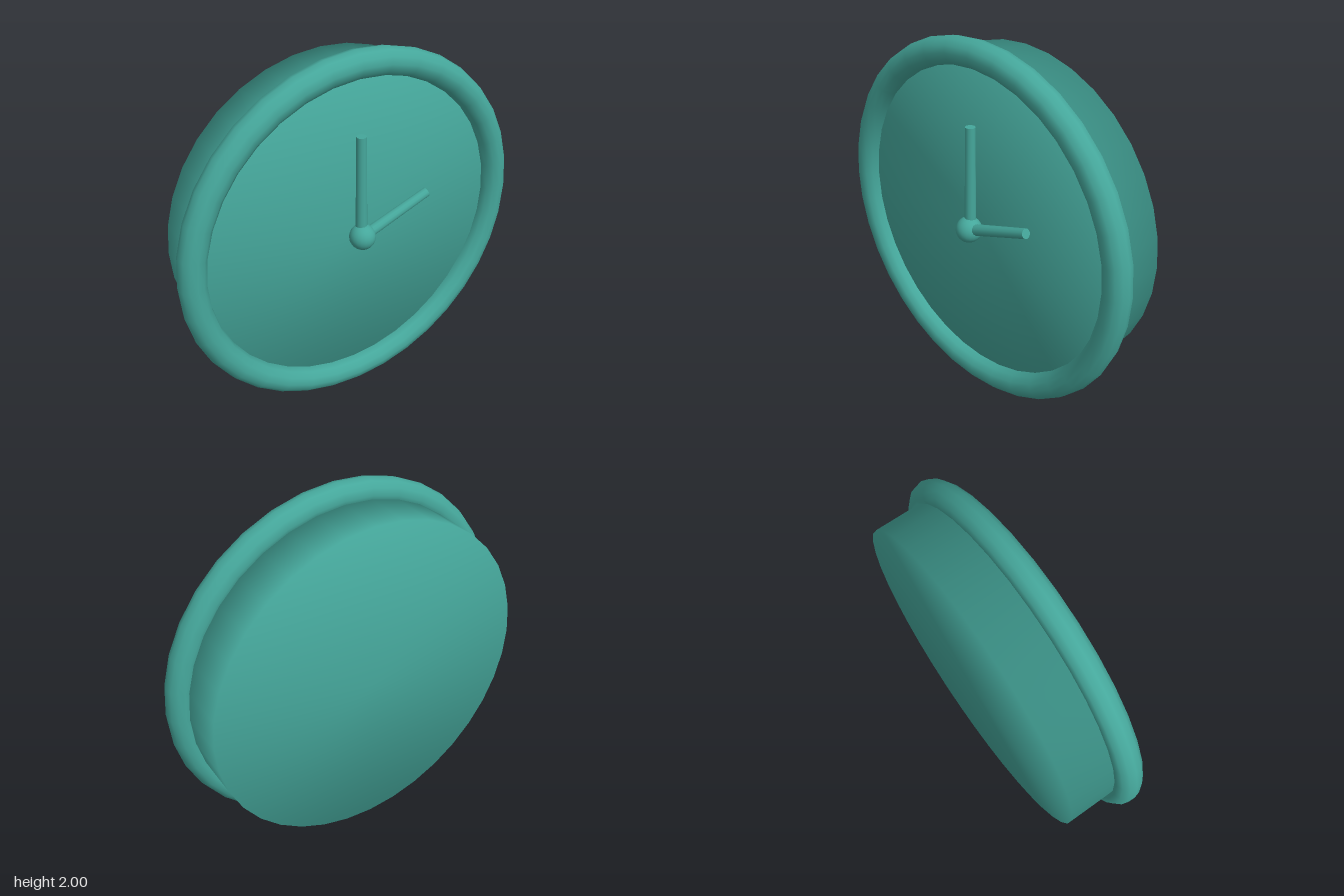
import * as THREE from 'three';
import { mergeVertices } from 'three/addons/utils/BufferGeometryUtils.js';

// Share vertices so that shading runs smoothly over the cap edges
function soften(geometry) {
  geometry.deleteAttribute('normal');
  geometry.deleteAttribute('uv');
  const soft = mergeVertices(geometry, 1e-4);
  soft.computeVertexNormals();
  return soft;
}

export function createModel() {
  const group = new THREE.Group();
  const teal = new THREE.MeshStandardMaterial({ color: 0x45a79b });
  teal.name = 'teal';

  function add(name, geometry, x, y, z) {
    const mesh = new THREE.Mesh(geometry, teal);
    mesh.name = name;
    mesh.position.set(x, y, z);
    group.add(mesh);
    return mesh;
  }

  // Drum-shaped case, whose front cap is the dial
  const back = -0.235, dial = 0.09;
  const drum = new THREE.CylinderGeometry(0.908, 0.908, dial - back, 36);
  drum.rotateX(Math.PI / 2);
  add('case', soften(drum), 0, 1, (back + dial) / 2);

  // Round rim
  add('rim', new THREE.TorusGeometry(0.927, 0.073, 12, 36), 0, 1, 0.0925);

  // Centre hub
  add('hub', new THREE.SphereGeometry(0.07, 20, 14), 0, 1, 0.165);

  // Hands: rods from the hub to their tips
  function addHand(name, tip, radius, startZ) {
    const start = new THREE.Vector3(0, 1, startZ);
    const along = tip.clone().sub(start);
    const rod = new THREE.CylinderGeometry(radius * 0.95, radius * 1.1, along.length(), 12);
    const middle = start.clone().add(tip).multiplyScalar(0.5);
    const hand = add(name, rod, middle.x, middle.y, middle.z);
    hand.quaternion.setFromUnitVectors(new THREE.Vector3(0, 1, 0), along.normalize());
  }
  addHand('minuteHand', new THREE.Vector3(0, 1.57, 0.147), 0.028, 0.155);
  addHand('hourHand', new THREE.Vector3(0.407, 1.14, 0.163), 0.028, 0.167);

  return group;
}
